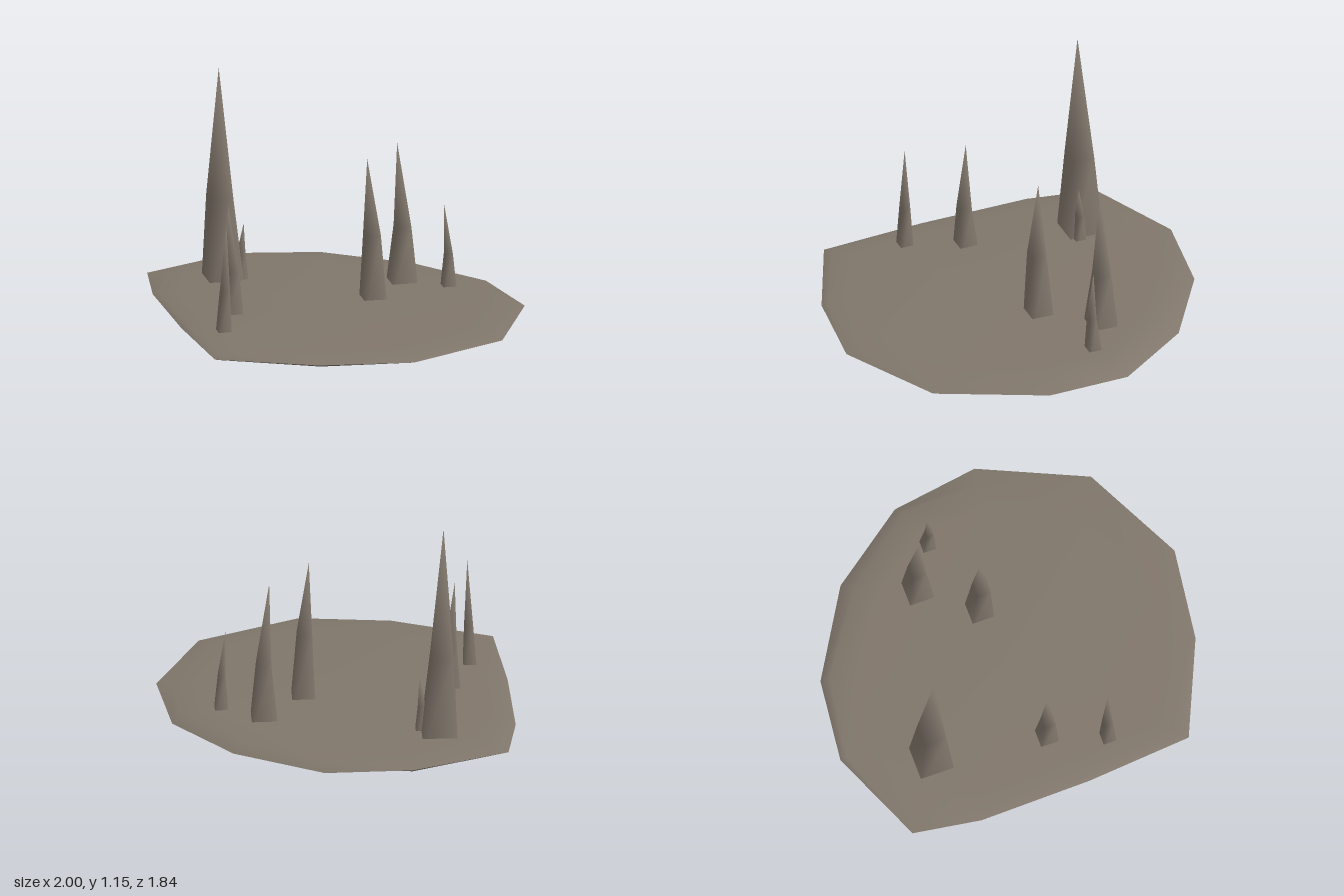
import * as THREE from 'three';
import { mergeVertices } from 'three/addons/utils/BufferGeometryUtils.js';

const stone = new THREE.MeshStandardMaterial({ color: 0x80766b, side: THREE.DoubleSide });
stone.name = 'stone';

// Slab outline [x, z], clockwise from the back as seen from above
const OUTER = [[0, -0.92], [0.46, -0.85], [0.8, -0.59], [1, -0.07], [0.83, 0.45], [0.47, 0.73],
  [0, 0.915], [-0.4, 0.58], [-0.8, 0.2], [-1, -0.07], [-0.81, -0.54], [-0.48, -0.8]];
// Inner edge of the bevelled rim
const INNER = [[0, -0.85], [0.45, -0.8], [0.73, -0.54], [0.92, -0.08], [0.79, 0.39], [0.46, 0.7],
  [0, 0.87], [-0.39, 0.55], [-0.78, 0.19], [-0.89, -0.08], [-0.79, -0.52], [-0.46, -0.76]];

// One side of the slab: rings from rim to centre
function slabSide(innerY, centreY, up) {
  const n = OUTER.length, pos = [], idx = [];
  OUTER.forEach(([x, z]) => pos.push(x, z < -0.7 ? 0.05 : 0.077, z));
  for (const s of [1, 0.85]) {
    INNER.forEach(([x, z]) => pos.push(x * s, innerY + (centreY - innerY) * (1 - s) * 4 + Math.min(0, z + 0.4) * 0.015, z * s));
  }
  pos.push(0, centreY, 0);
  const tri = (a, b, c) => (up ? idx.push(a, c, b) : idx.push(a, b, c));
  for (let i = 0; i < n; i++) {
    const j = (i + 1) % n;
    for (const r of [0, n]) {
      tri(r + i, r + j, r + n + j);
      tri(r + i, r + n + j, r + n + i);
    }
    tri(2 * n + i, 2 * n + j, 3 * n);
  }
  const g = new THREE.BufferGeometry();
  g.setAttribute('position', new THREE.Float32BufferAttribute(pos, 3));
  g.setIndex(idx);
  g.computeVertexNormals();
  return g;
}

// Four-sided tapering spike, open at the bottom, slightly bent at the middle ring
function spike({ base, r, mid, midR, tip }) {
  const geo = new THREE.CylinderGeometry(0, 1, 2, 4, 2, true);
  geo.deleteAttribute('normal');
  geo.deleteAttribute('uv');
  const rings = [[base[0], 0, base[1], r], [...mid, midR], [...tip, 0]];
  const p = geo.attributes.position;
  for (let i = 0; i < p.count; i++) {
    const row = Math.round(p.getY(i) + 1);
    const [x, y, z, rad] = rings[row];
    const k = row === 2 ? 0 : rad / (row === 1 ? 0.5 : 1);
    p.setXYZ(i, x + p.getX(i) * k, y, z + p.getZ(i) * k);
  }
  const g = mergeVertices(geo, 1e-4);
  g.computeVertexNormals();
  return g;
}

const SPIKES = [
  { name: 'tallSpike', base: [-0.62, -0.15], r: 0.128, mid: [-0.635, 0.5, -0.14], midR: 0.077, tip: [-0.635, 1.15, -0.13] },
  { name: 'tallSpikeShoot', base: [-0.535, -0.18], r: 0.05, mid: [-0.54, 0.22, -0.18], midR: 0.025, tip: [-0.527, 0.375, -0.182] },
  { name: 'leftFrontSpike', base: [-0.29, 0.3], r: 0.075, mid: [-0.282, 0.3, 0.308], midR: 0.04, tip: [-0.306, 0.635, 0.31] },
  { name: 'frontSpike', base: [-0.17, 0.568], r: 0.052, mid: [-0.163, 0.3, 0.565], midR: 0.029, tip: [-0.156, 0.63, 0.563] },
  { name: 'middleSpike', base: [0.153, -0.262], r: 0.085, mid: [0.153, 0.42, -0.25], midR: 0.05, tip: [0.128, 0.79, -0.247] },
  { name: 'backSpike', base: [0.122, -0.568], r: 0.1, mid: [0.122, 0.37, -0.573], midR: 0.05, tip: [0.103, 0.785, -0.555] },
  { name: 'smallBackSpike', base: [0.347, -0.628], r: 0.056, mid: [0.352, 0.26, -0.618], midR: 0.025, tip: [0.328, 0.5, -0.617] },
];

export function createModel() {
  const model = new THREE.Group();
  const add = (geometry, name) => {
    const mesh = new THREE.Mesh(geometry, stone);
    mesh.name = name;
    model.add(mesh);
  };
  add(slabSide(0.092, 0.104, true), 'slabTop');
  add(slabSide(0.062, 0.052, false), 'slabUnderside');
  SPIKES.forEach((s) => add(spike(s), s.name));
  return model;
}
